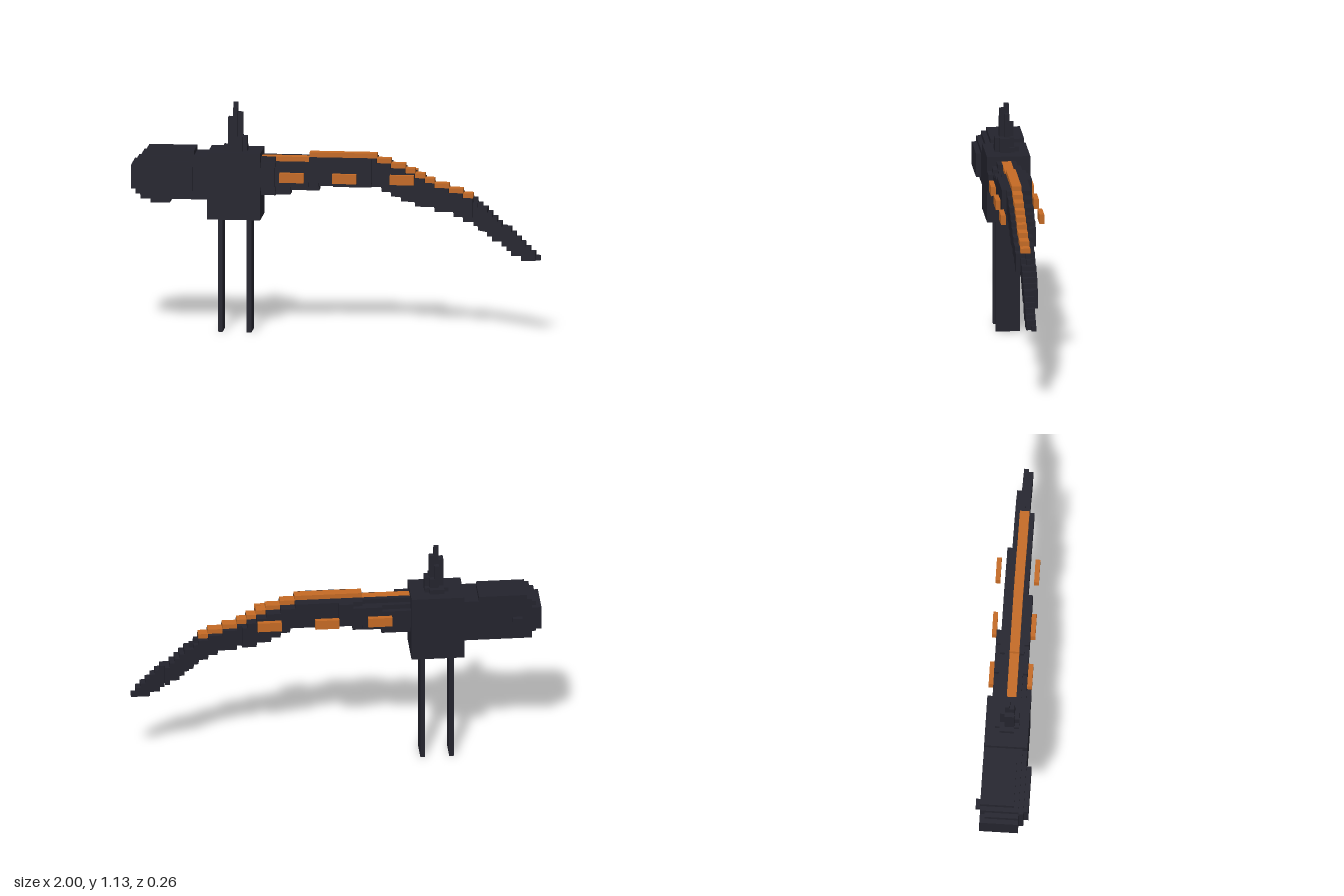
import * as THREE from 'three';
import { mergeGeometries } from 'three/addons/utils/BufferGeometryUtils.js';

const V = 2 / 85; // one voxel; all sizes below are in voxels, x counted from the left end

// box from its bounds: x0, x1, y0, y1, z0, z1
function box([x0, x1, y0, y1, z0, z1]) {
  return new THREE.BoxGeometry((x1 - x0) * V, (y1 - y0) * V, (z1 - z0) * V)
    .translate(((x0 + x1) / 2 - 42.5) * V, ((y0 + y1) / 2) * V, ((z0 + z1) / 2) * V);
}

// linear interpolation through [x, value] points
function sample(points, x) {
  for (let i = 1; i < points.length; i++) {
    const [xa, a] = points[i - 1], [xb, b] = points[i];
    if (x <= xb) return a + (b - a) * Math.max(0, x - xa) / (xb - xa);
  }
  return points[points.length - 1][1];
}

// value of the first step whose end lies past x
const step = (steps, x) => steps.find(([end]) => x < end)[1];

export function createModel() {
  const group = new THREE.Group();
  const dark = new THREE.MeshStandardMaterial({ color: 0x23232d });
  dark.name = 'darkMetal';
  const orange = new THREE.MeshStandardMaterial({ color: 0xc46a24 });
  orange.name = 'orangeGlow';

  const add = (name, material, boxes) => {
    const mesh = new THREE.Mesh(mergeGeometries(boxes.map(box)), material);
    mesh.name = name;
    group.add(mesh);
  };

  // central block and the two flat handle slats
  add('centralBlock', dark, [[16, 27, 24, 38, -4.5, 4.5]]);
  add('handleLeft', dark, [[24, 25, 0, 24, -2.5, 2.5]]);
  add('handleRight', dark, [[18, 19, 0, 24, -2.5, 2.5]]);

  // rounded hammer head, widest around mid height
  add('hammerHead', dark, [
    [0, 1, 30, 35, -2.5, 2.5],
    [1, 2, 29, 36, -3.5, 3.5],
    [2, 16, 28, 37, -4.5, 3.5],
    [2, 16, 29, 36, -4.5, 4.5],
    [3, 13, 30, 35, -4.5, 5.5],
    [3, 13, 37, 38, -4.5, 2.5],
    [4, 8, 27, 28, -2.5, 2.5],
    [0, 2, 30, 35, -4.5, 3.5],
    [4, 6, 32, 33, -5.5, -4.5],
  ]);

  // stepped spike on top of the block
  add('topSpike', dark, [
    [21, 22, 38, 48, -0.5, 0.5],
    [21, 22, 38, 47, -0.5, 1.5],
    [21, 23, 38, 46, -0.5, 0.5],
    [20, 22, 38, 45, -0.5, 1.5],
    [21, 22, 38, 44, -1.5, 1.5],
    [20, 24, 38, 41, -0.5, 1.5],
    [21, 23, 38, 41, -1.5, 2.5],
    [19, 24, 38, 39, -1.5, 1.5],
    [20, 23, 38, 39, -2.5, 2.5],
  ]);

  // curved blade: columns of slices following top, bottom and width profiles
  const top = [[27, 37], [37, 37], [37.1, 38], [50, 38], [53, 36.7], [58, 35], [62, 33],
    [66, 31.4], [70, 30], [73, 27.5], [78, 23], [82, 19], [84.5, 17]];
  const bottom = [[27, 28.7], [32, 29.3], [38, 30.3], [45, 31.3], [50, 31.4], [54, 29.3],
    [61, 27], [68, 25.2], [72, 22.6], [77, 19.3], [81, 16.2], [84.5, 16]];
  const front = [[30, 4.5], [50, 3.5], [71, 2.5], [84, 1.5], [86, 0.5]];
  const back = [[42, -3.5], [62, -2.5], [78, -1.5], [86, -0.5]];
  const blade = [], ridge = [];
  for (let x = 27; x < 85; x++) {
    const t = Math.round(sample(top, x + 0.5));
    const b = Math.min(Math.round(sample(bottom, x + 0.5)), t - 1);
    const z0 = step(back, x), z1 = step(front, x);
    const middle = (z0 + z1) / 2, half = (z1 - z0) / 2 + 0.2;
    for (let z = z0; z < z1; z++) {
      const d = (z + 0.5 - middle) / half;
      const cut = Math.round((t - b) / 2 * (1 - Math.sqrt(Math.max(0, 1 - d * d))));
      const isRidge = z > -1 && z < 1 && x < 71;
      const y0 = Math.min(b + cut, t - 1);
      let y1 = isRidge ? t - 1 : Math.max(t - cut, y0 + 1);
      if (x >= 37 && x < 71 && !isRidge) y1 = Math.min(y1, t - 1);
      if (y1 > y0) blade.push([x, x + 1, y0, y1, z, z + 1]);
      if (isRidge) ridge.push([x, x + 1, t - 1, t, z, z + 1]);
    }
  }
  add('curvedBlade', dark, blade);
  add('bladeRidge', orange, ridge);

  // floating plates along both sides of the blade
  for (const [side, z] of [['Front', 3.5], ['Back', -4.5]]) {
    [31, 42, 54].forEach((x, i) =>
      add(`plate${side}${i + 1}`, orange, [[x, x + 5, 32, 34, z, z + 1]]));
  }
  return group;
}
